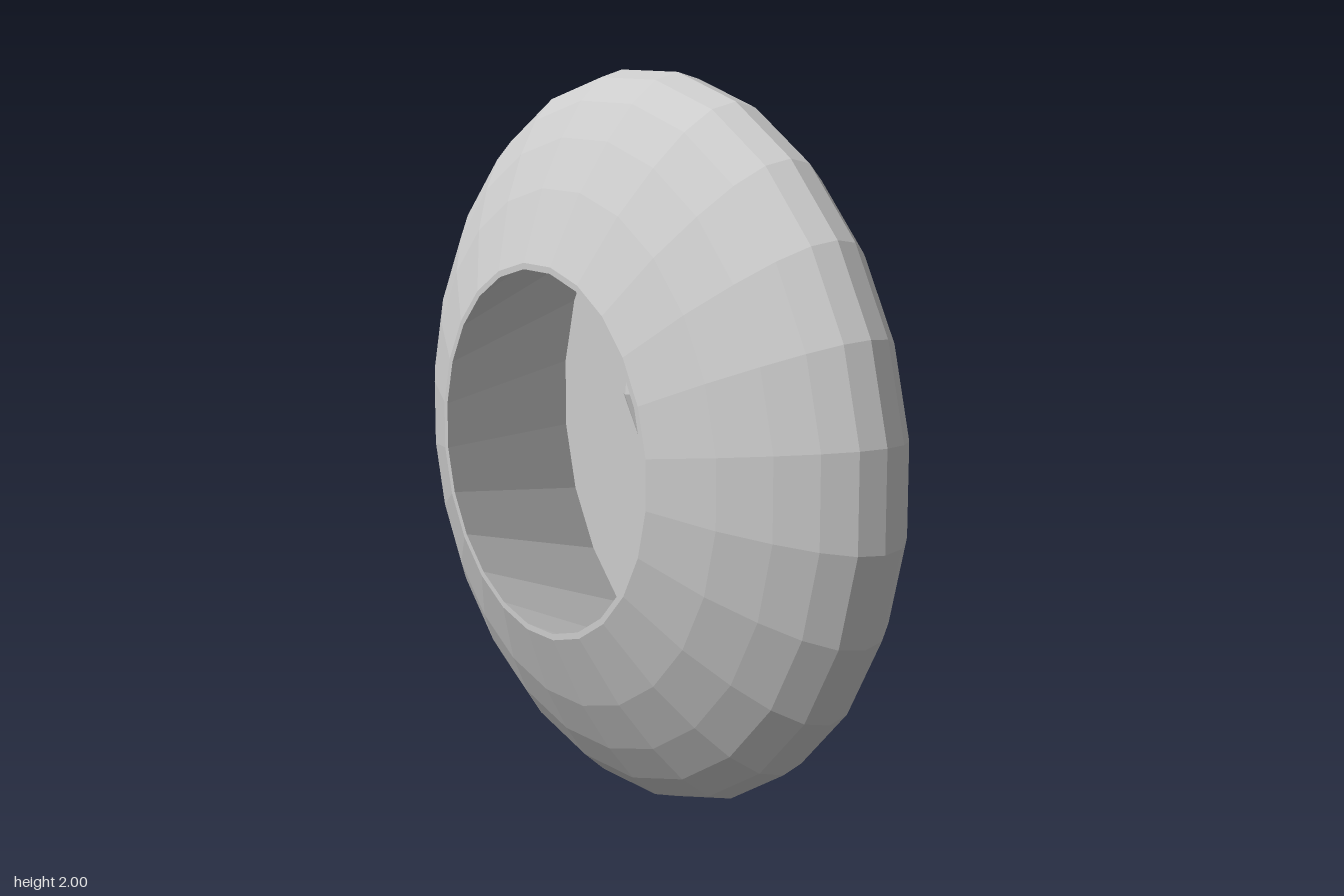
import * as THREE from 'three';

const material = new THREE.MeshStandardMaterial({ color: 0xcccccc, flatShading: true });

function lathe(name, profile, sides, start = 0) {
  const points = profile.map(([r, y]) => new THREE.Vector2(r, y));
  const mesh = new THREE.Mesh(new THREE.LatheGeometry(points, sides, start), material);
  mesh.name = name;
  return mesh;
}

// Spindle-shaped hand: pointed tip at the origin, waist, then a flared end
function makeHand(name, x, y, z, degrees) {
  const hand = lathe(name, [[0, 0], [0.049, 0.167], [0.007, 0.38], [0.05, 0.566], [0, 0.566]], 6);
  hand.position.set(x, y, z);
  hand.rotation.z = THREE.MathUtils.degToRad(degrees - 90);
  return hand;
}

export function createModel() {
  const model = new THREE.Group();
  model.name = 'wallClock';

  // Rounded case: half of the bulging section, mirrored front to back
  const bulge = [[0.507, 0.362], [0.70, 0.285], [0.832, 0.21], [0.928, 0.14], [0.989, 0.07]];
  const profile = [
    [0, -0.362],
    ...bulge.map(([r, z]) => [r, -z]),
    [1.0086, 0],
    ...bulge.slice().reverse(),
    // thin rim, undercut wall and dial floor
    [0.49, 0.362],
    [0.76, -0.21],
    [0, -0.21],
  ];
  const body = lathe('caseAndDial', profile, 24, Math.PI / 24);
  body.rotation.x = Math.PI / 2;
  body.scale.x = 0.987;
  body.position.y = 1;
  model.add(body);

  // Hands floating inside the recess
  model.add(makeHand('minuteHand', 0.005, 0.96, 0.02, 97.8));
  model.add(makeHand('hourHand', -0.054, 0.737, -0.09, 32.8));

  return model;
}
